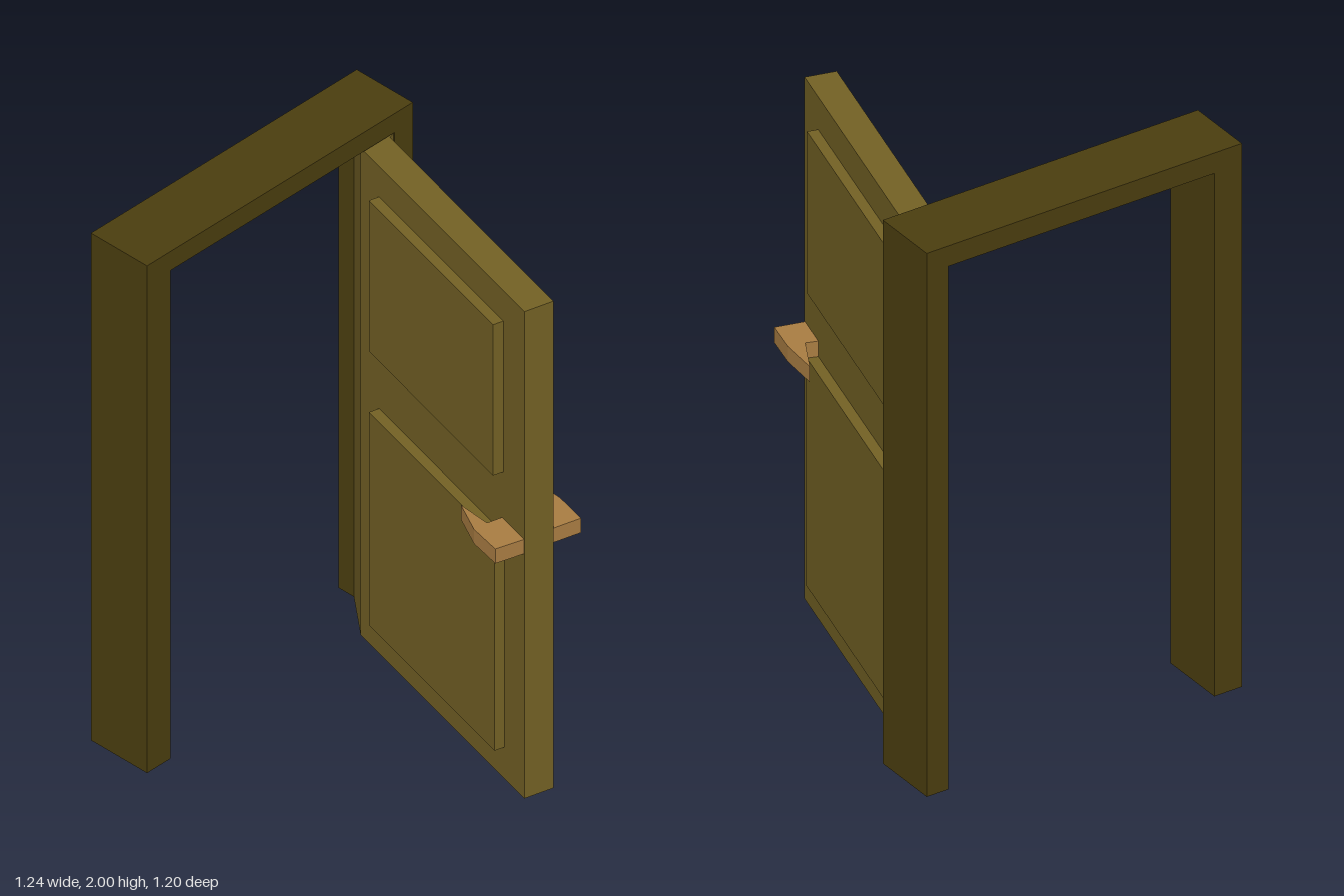
import * as THREE from 'three';

const frameMaterial = new THREE.MeshStandardMaterial({ color: 0x4a3d0f });
frameMaterial.name = 'dark olive frame';
const doorMaterial = new THREE.MeshStandardMaterial({ color: 0x726024 });
doorMaterial.name = 'olive door';
const handleMaterial = new THREE.MeshStandardMaterial({ color: 0xa87c42 });
handleMaterial.name = 'bronze handle';

// Upright prism from a floor outline of [x, z] points
function prism(name, outline, bottom, top, material) {
  const shape = new THREE.Shape(outline.map(([x, z]) => new THREE.Vector2(x, -z)));
  const geometry = new THREE.ExtrudeGeometry(shape, { depth: top - bottom, bevelEnabled: false });
  geometry.rotateX(-Math.PI / 2).translate(0, bottom, 0);
  const mesh = new THREE.Mesh(geometry, material);
  mesh.name = name;
  return mesh;
}

// Frame: an arch profile across z and y, extruded along x
function createFrame() {
  const profile = [
    [-0.6, 0], [-0.495, 0], [-0.495, 1.925], [0.518, 1.925],
    [0.518, 0], [0.6, 0], [0.6, 2], [-0.6, 2],
  ].map(([a, y]) => new THREE.Vector2(a, y));
  const geometry = new THREE.ExtrudeGeometry(new THREE.Shape(profile), { depth: 0.247, bevelEnabled: false });
  geometry.rotateY(Math.PI / 2).translate(-0.622, 0, 0);
  const mesh = new THREE.Mesh(geometry, frameMaterial);
  mesh.name = 'doorFrame';
  return mesh;
}

export function createModel() {
  const model = new THREE.Group();
  model.name = 'openDoor';
  model.add(createFrame());

  // Swung leaf, with a wedge at the hinge meeting the rear post
  model.add(prism('doorLeaf', [
    [-0.4, -0.39], [0.57, -0.135], [0.597, -0.239],
    [-0.372, -0.494], [-0.38, -0.519], [-0.556, -0.519],
  ], 0, 1.92, doorMaterial));

  // Raised panels, running through to both faces of the leaf
  const panels = new THREE.Group();
  panels.name = 'raisedPanels';
  panels.position.set(-0.4, 0, -0.39);
  panels.rotation.y = -Math.atan2(0.255, 0.97);
  for (const [name, bottom, top, end] of [
    ['upperPanel', 1.205, 1.8, 0.874],
    ['lowerPanel', 0.125, 0.965, 0.882],
  ]) {
    const start = 0.113;
    const panel = new THREE.Mesh(new THREE.BoxGeometry(end - start, top - bottom, 0.182), doorMaterial);
    panel.name = name;
    panel.position.set((start + end) / 2, (bottom + top) / 2, -0.0535);
    panels.add(panel);
  }
  model.add(panels);

  // Pointed lever handles on both faces
  model.add(prism('frontHandle', [
    [0.3, -0.125], [0.42, -0.062], [0.54, -0.035], [0.57, -0.138], [0.44, -0.173], [0.425, -0.115],
  ], 0.965, 1.022, handleMaterial));
  model.add(prism('backHandle', [
    [0.355, -0.382], [0.485, -0.312], [0.47, -0.268], [0.593, -0.237], [0.62, -0.34], [0.5, -0.37],
  ], 0.965, 1.022, handleMaterial));

  return model;
}
